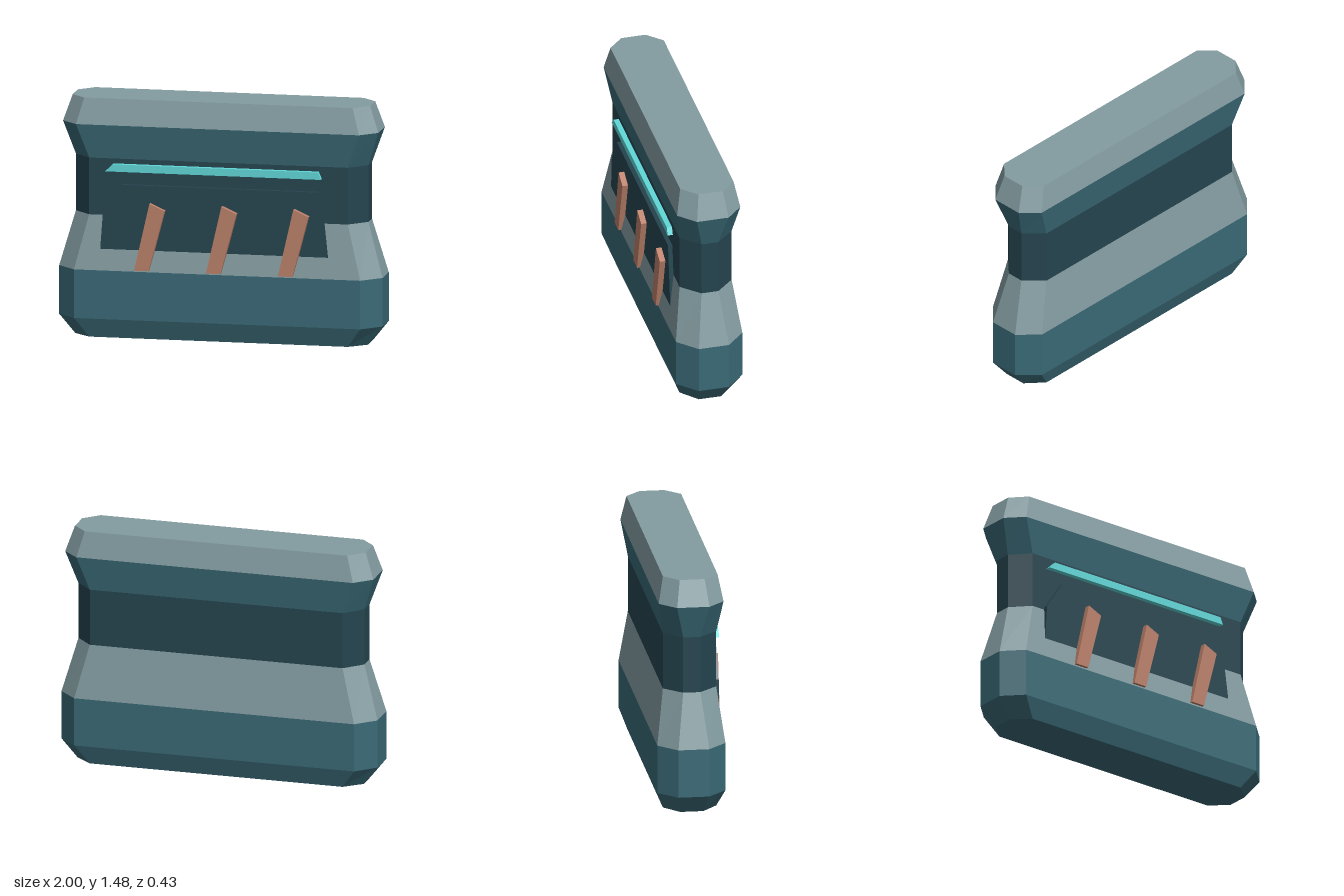
import * as THREE from 'three';

const mat = (name, color) => {
  const m = new THREE.MeshStandardMaterial({ color });
  m.name = name;
  return m;
};

// Eight-sided outline of the wall at one height; the corners are chamfered.
const CENTRE_Z = -0.0075;
function ring([y, hx, cx, hz, cz]) {
  const half = [[cx, hz], [hx, cz], [hx, -cz], [cx, -hz]];
  return [...half, ...half.map(([x, z]) => [-x, -z])]
    .map(([x, z]) => new THREE.Vector3(x, y, z + CENTRE_Z));
}

function flatGeometry(points) {
  const g = new THREE.BufferGeometry().setFromPoints(points);
  g.computeVertexNormals();
  return g;
}

// Sloped or upright band between two outlines
function band(lower, upper) {
  const a = ring(lower), b = ring(upper), pts = [];
  for (let i = 0; i < 8; i++) {
    const j = (i + 1) % 8;
    pts.push(a[i], a[j], b[j], a[i], b[j], b[i]);
  }
  return flatGeometry(pts);
}

// Flat lid on an outline
function cap(section, up) {
  const a = ring(section), pts = [];
  for (let i = 1; i < 7; i++) pts.push(a[0], ...(up ? [a[i], a[i + 1]] : [a[i + 1], a[i]]));
  return flatGeometry(pts);
}

// Front-facing outline extruded from z0 to z1
function plate(points, z0, z1) {
  const shape = new THREE.Shape(points.map(([x, y]) => new THREE.Vector2(x, y)));
  return new THREE.ExtrudeGeometry(shape, { depth: z1 - z0, bevelEnabled: false }).translate(0, 0, z0);
}

export function createModel() {
  const model = new THREE.Group();
  model.name = 'barrier';
  const teal = mat('teal', 0x3a6a77);
  const grey = mat('pale grey teal', 0x839ca1);
  const dark = mat('dark teal', 0x25444f);
  const copper = mat('copper', 0xbb8069);
  const cyan = mat('cyan', 0x60d8d8);

  const add = (parent, name, geometry, material) => {
    const mesh = new THREE.Mesh(geometry, material);
    mesh.name = name;
    parent.add(mesh);
  };

  // Wall body: height, half width, chamfer x, half depth, chamfer z
  const sections = [
    [0, 0.905, 0.8, 0.163, 0.07],
    [0.12, 1, 0.885, 0.208, 0.094],
    [0.42, 1, 0.885, 0.208, 0.094],
    [0.755, 0.905, 0.8, 0.163, 0.053],
    [1.105, 0.905, 0.8, 0.163, 0.053],
    [1.315, 0.975, 0.875, 0.198, 0.099],
    [1.475, 0.92, 0.83, 0.167, 0.076],
  ];
  const bands = [
    ['footBevel', teal], ['base', teal], ['lowerSlope', grey],
    ['waist', dark], ['upperFlare', teal], ['topBevel', grey],
  ];
  const body = new THREE.Group();
  body.name = 'wallBody';
  bands.forEach(([name, m], i) => add(body, name, band(sections[i], sections[i + 1]), m));
  add(body, 'underside', cap(sections[0], false), teal);
  add(body, 'topFace', cap(sections[6], true), grey);
  model.add(body);

  // Raised panel, its foot sunk into the lower slope
  add(model, 'frontPanel', plate([
    [-0.73, 0.5], [0.69, 0.5], [0.63, 0.95], [-0.59, 0.95], [-0.71, 0.77],
  ], 0.14, 0.183), dark);

  // Light strip above the panel
  add(model, 'lightStrip', plate([
    [-0.695, 1.03], [0.64, 1.03], [0.62, 1.075], [-0.65, 1.075],
  ], 0.15, 0.188), cyan);

  // Three leaning ribs
  const ribs = new THREE.Group();
  ribs.name = 'ribs';
  for (let i = 0; i < 3; i++) {
    const g = plate([[-0.51, 0.43], [-0.42, 0.43], [-0.322, 0.803], [-0.415, 0.845]], 0.175, 0.218);
    add(ribs, 'rib' + (i + 1), g.translate(i * 0.445, 0, 0), copper);
  }
  model.add(ribs);

  return model;
}
